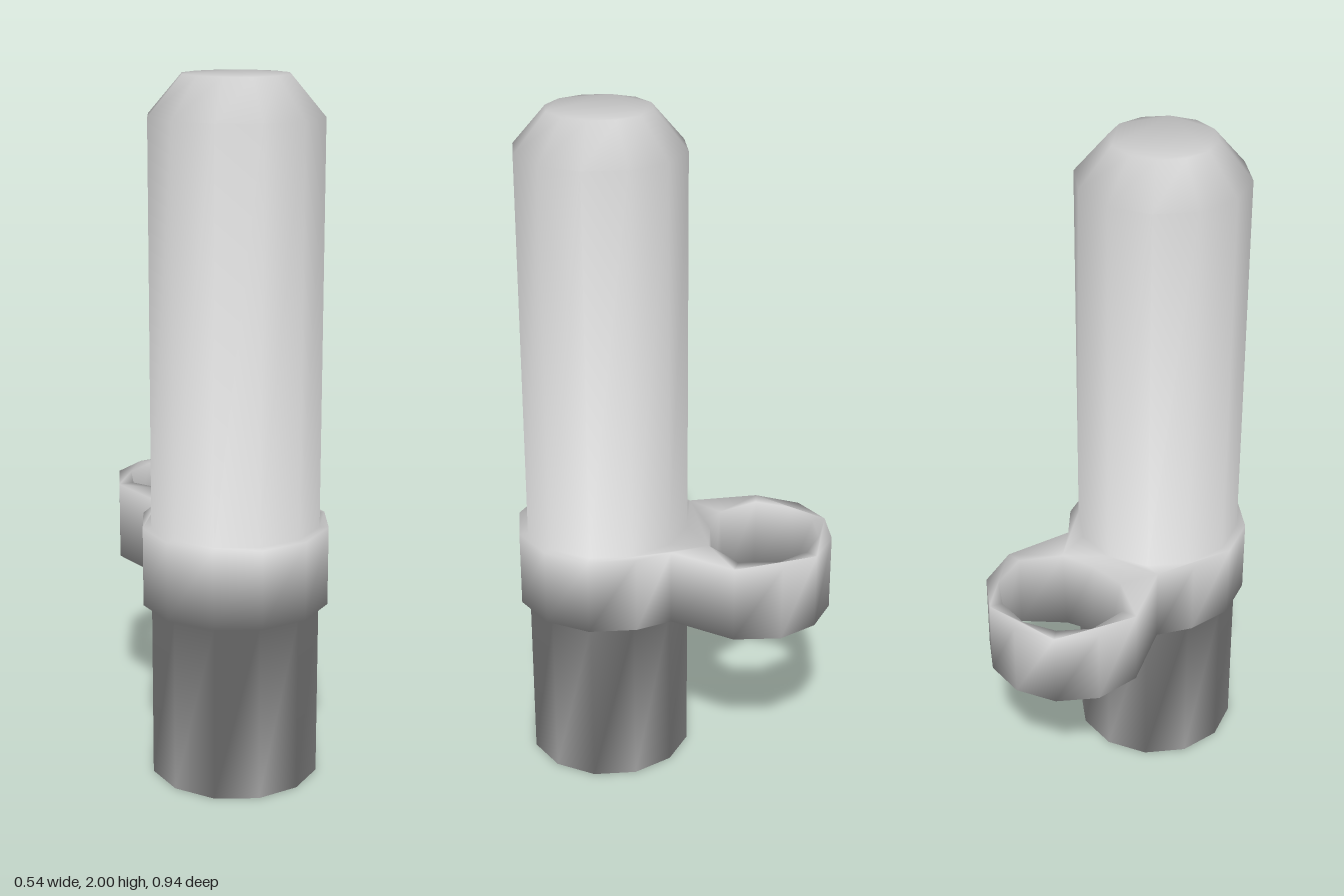
import * as THREE from 'three';
import { toCreasedNormals } from 'three/addons/utils/BufferGeometryUtils.js';

const SIDES = 12, BODY_Z = 0.2, COLLAR_LOW = 0.52, COLLAR_HIGH = 0.75;

// Loops are lists of (x, z) points, starting at the front and running towards +x.
const circle = (radius) => Array.from({ length: SIDES }, (_, i) => {
  const a = (i / SIDES) * Math.PI * 2;
  return new THREE.Vector2(radius * Math.sin(a), BODY_Z + radius * Math.cos(a));
});

// Completes a +x half outline whose first and last points lie on x = 0.
const mirrored = (half) => [
  ...half.map(([x, z]) => new THREE.Vector2(x, z)),
  ...half.slice(1, -1).reverse().map(([x, z]) => new THREE.Vector2(-x, z)),
];

// Wall between a low and a high loop, facing away from the loop's inside.
function wall(low, y0, high, y1) {
  const out = [];
  low.forEach((a, i) => {
    const j = (i + 1) % low.length;
    const b = low[j], c = high[j], d = high[i];
    out.push(a.x, y0, a.y, b.x, y0, b.y, c.x, y1, c.y);
    out.push(a.x, y0, a.y, c.x, y1, c.y, d.x, y1, d.y);
  });
  return out;
}

// Flat face at height y, with optional holes, facing up or down.
function plate(contour, holes, y, up) {
  const points = [contour, ...holes].flat();
  const out = [];
  for (const [i, j, k] of THREE.ShapeUtils.triangulateShape(contour, holes)) {
    const a = points[i];
    let b = points[j], c = points[k];
    const facesUp = (b.y - a.y) * (c.x - a.x) - (b.x - a.x) * (c.y - a.y) > 0;
    if (facesUp !== up) [b, c] = [c, b];
    out.push(a.x, y, a.y, b.x, y, b.y, c.x, y, c.y);
  }
  return out;
}

export function createModel() {
  const body = circle(0.245), tip = circle(0.15);
  const outline = mirrored([
    [0, 0.47], [0.135, 0.435], [0.235, 0.335], [0.27, 0.2], [0.235, 0.065], [0.17, -0.025],
    [0.24, -0.22], [0.21, -0.355], [0.12, -0.443], [0, -0.475],
  ]);
  const ringBack = [[0.195, -0.225], [0.175, -0.34], [0.1, -0.41], [0, -0.437]];
  const holeHigh = mirrored([[0, -0.113], [0.11, -0.127], ...ringBack]);
  const holeLow = mirrored([[0, -0.127], [0.08, -0.145], ...ringBack]);

  const parts = {
    // lower shaft with its closed base
    lowerShaft: [...wall(body, 0, body, COLLAR_LOW), ...plate(body, [], 0, false)],
    // collar around the shaft, joined to the open ring behind it
    collarAndRing: [
      ...wall(outline, COLLAR_LOW, outline, COLLAR_HIGH),
      ...wall([...holeLow].reverse(), COLLAR_LOW, [...holeHigh].reverse(), COLLAR_HIGH),
      ...plate(outline, [body, holeHigh], COLLAR_HIGH, true),
      ...plate(outline, [body, holeLow], COLLAR_LOW, false),
    ],
    // upper shaft with its bevelled tip
    upperShaft: [
      ...wall(body, COLLAR_HIGH, body, 1.89),
      ...wall(body, 1.89, tip, 2),
      ...plate(tip, [], 2, true),
    ],
  };

  // Normals are smoothed over the whole skin, so shading flows between the parts.
  let skin = new THREE.BufferGeometry();
  skin.setAttribute('position', new THREE.Float32BufferAttribute(Object.values(parts).flat(), 3));
  skin = toCreasedNormals(skin, Math.PI);

  const group = new THREE.Group();
  group.name = 'shaftWithRing';
  const material = new THREE.MeshStandardMaterial({ color: 0xcccccc });
  let start = 0;
  for (const [name, values] of Object.entries(parts)) {
    const geometry = new THREE.BufferGeometry();
    for (const key of ['position', 'normal']) {
      const slice = skin.attributes[key].array.slice(start, start + values.length);
      geometry.setAttribute(key, new THREE.BufferAttribute(slice, 3));
    }
    start += values.length;
    const mesh = new THREE.Mesh(geometry, material);
    mesh.name = name;
    group.add(mesh);
  }
  return group;
}
